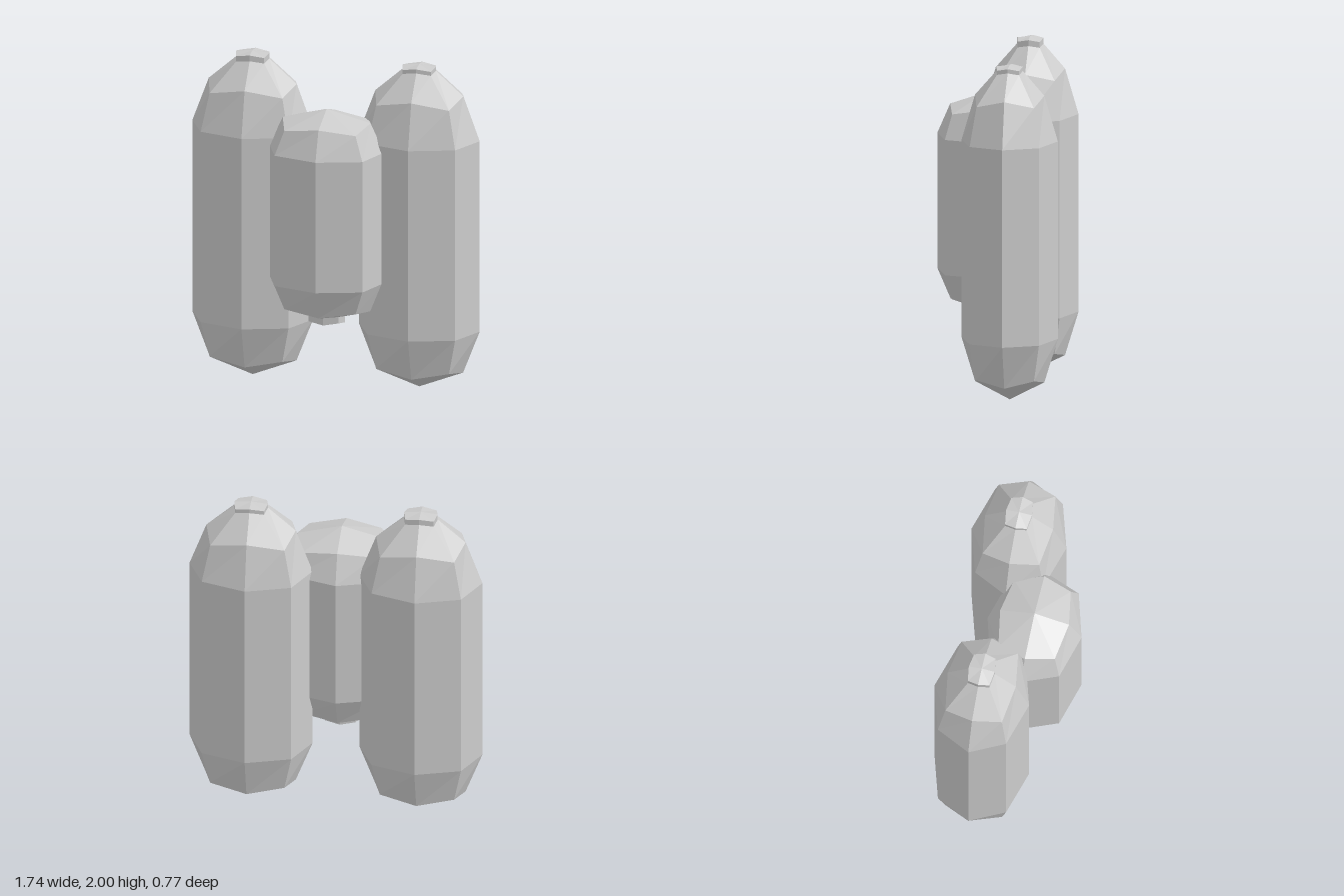
import * as THREE from 'three';

// One ring of eight points: mids lie on the x and z axes, corners between them.
function ring(midY, cornerY, midX, midZ, cornerX, cornerZ) {
  const points = [];
  for (let i = 0; i < 8; i++) {
    const a = (i * Math.PI) / 4;
    const corner = i % 2 === 1;
    points.push(new THREE.Vector3(
      corner ? Math.sign(Math.cos(a)) * cornerX : Math.cos(a) * midX,
      corner ? cornerY : midY,
      corner ? Math.sign(Math.sin(a)) * cornerZ : Math.sin(a) * midZ));
  }
  return points;
}

// Joins rings from bottom to top and closes both ends with a shallow point.
function shell(name, rings, bottomY, topY, material) {
  const pos = [];
  const tri = (...pts) => pts.forEach((p) => pos.push(p.x, p.y, p.z));
  const bottom = new THREE.Vector3(0, bottomY, 0);
  const top = new THREE.Vector3(0, topY, 0);
  const last = rings[rings.length - 1];
  for (let i = 0; i < 8; i++) {
    const j = (i + 1) % 8;
    tri(bottom, rings[0][i], rings[0][j]);
    for (let r = 0; r < rings.length - 1; r++) {
      const lo = rings[r], hi = rings[r + 1];
      tri(lo[i], hi[i], lo[j]);
      tri(lo[j], hi[i], hi[j]);
    }
    tri(top, last[j], last[i]);
  }
  const geometry = new THREE.BufferGeometry();
  geometry.setAttribute('position', new THREE.Float32BufferAttribute(pos, 3));
  geometry.computeVertexNormals();
  const mesh = new THREE.Mesh(geometry, material);
  mesh.name = name;
  return mesh;
}

export function createModel() {
  const material = new THREE.MeshStandardMaterial({ color: 0xcccccc, flatShading: true });
  const model = new THREE.Group();
  model.name = 'tankPack';

  // Pair of tall side tanks with a small raised cap on top
  for (const side of [-1, 1]) {
    const lift = side < 0 ? 0 : -0.01;
    const tank = shell(side < 0 ? 'rightTank' : 'leftTank', [
      ring(0.105, 0.145, 0.265, 0.205, 0.22, 0.17),
      ring(0.365, 0.365, 0.365, 0.285, 0.265, 0.205),
      ring(1.54, 1.54, 0.365, 0.285, 0.265, 0.205),
      ring(1.81, 1.77, 0.265, 0.205, 0.22, 0.17),
      ring(1.955, 1.943, 0.1, 0.078, 0.085, 0.065),
      ring(1.99 + lift, 1.977 + lift, 0.1, 0.078, 0.085, 0.065),
    ], 0, 2 + lift, material);
    tank.position.set(side * 0.503, 0, -0.105);
    model.add(tank);
  }

  // Shorter middle tank with a small outlet underneath
  const middle = shell('middleTank', [
    ring(0.43, 0.445, 0.11, 0.09, 0.09, 0.075),
    ring(0.475, 0.485, 0.11, 0.09, 0.09, 0.075),
    ring(0.51, 0.54, 0.265, 0.205, 0.215, 0.17),
    ring(0.69, 0.69, 0.347, 0.283, 0.265, 0.207),
    ring(1.495, 1.495, 0.347, 0.283, 0.265, 0.207),
    ring(1.67, 1.64, 0.265, 0.207, 0.215, 0.17),
  ], 0.405, 1.74, material);
  middle.position.set(-0.007, 0, 0.102);
  model.add(middle);

  return model;
}
